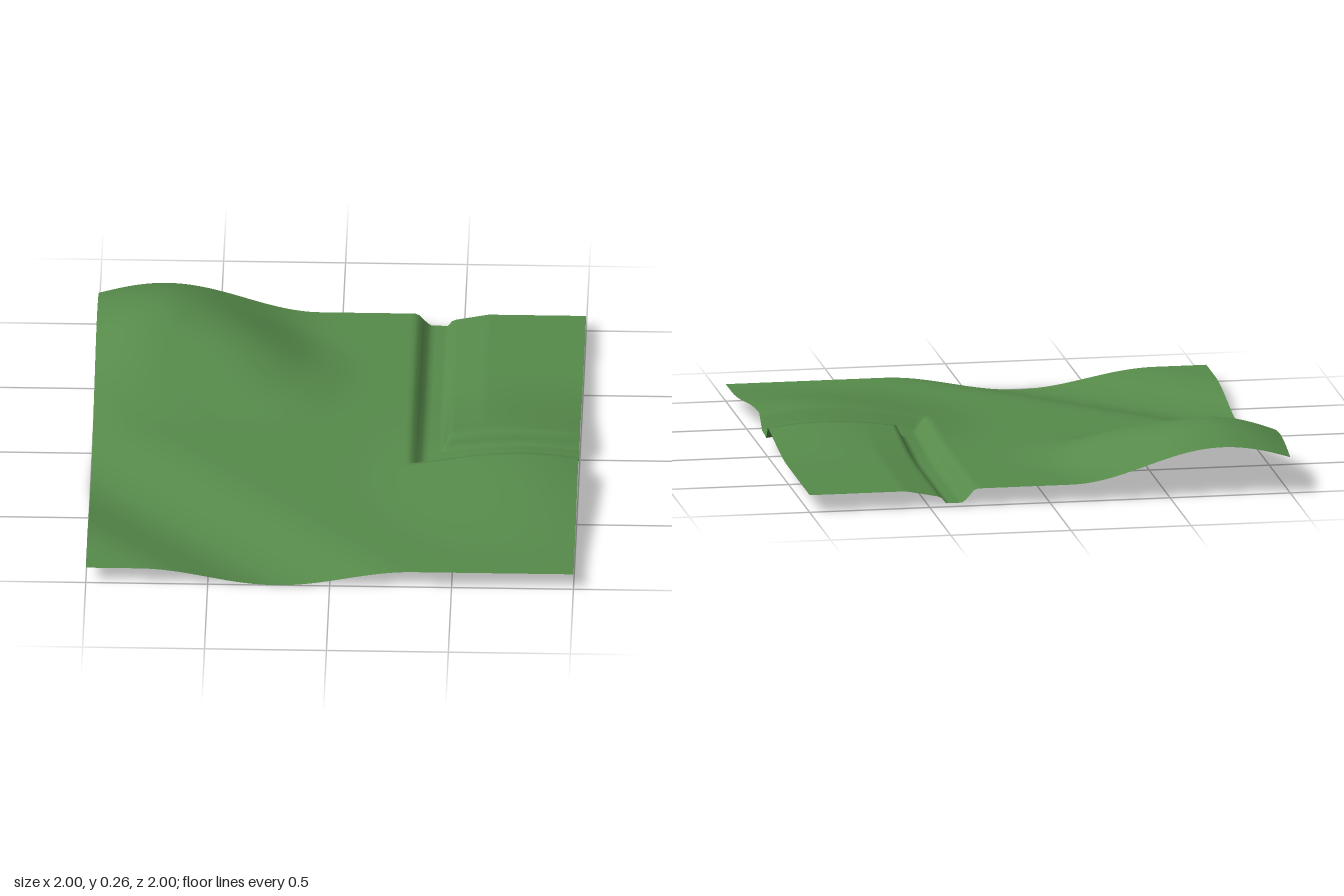
import * as THREE from 'three';

const clamp = THREE.MathUtils.clamp;

// smooth cosine mound: 1 at the middle, 0 at the radius
const mound = (d, r) => (d < r ? 0.5 * (1 + Math.cos((Math.PI * d) / r)) : 0);

// straight-sided profile: 0 -> 1 -> 0 between the four given stations
function trapezoid(w, a, b, c, d) {
  return clamp(Math.min((w - a) / (b - a), (d - w) / (d - c)), 0, 1);
}

const BASE = 0.072;
const hills = [
  { x: -0.72, z: -0.75, h: 0.188, r: 0.68 }, // main hill
  { x: -0.3, z: -0.5, h: 0.055, r: 0.4 },    // its shoulder
  { x: 0.77, z: 0.2, h: 0.085, r: 0.72 },    // low rise under the trench
];

function heightAt(x, z) {
  let y = BASE;
  for (const k of hills) y += k.h * mound(Math.hypot(x - k.x, z - k.z), k.r);

  // shallow valley running diagonally across the front right corner
  y -= BASE * mound(Math.abs(x - z + 1.22) / Math.SQRT2, 0.4);

  // L-shaped trench: one arm runs to the back edge, one to the left edge
  const w = Math.min(x - 0.31, (0.2 - z) * 0.77);
  const trench = 0.057 * trapezoid(w, 0, 0.05, 0.13, 0.155);

  // sloping bank beside the back arm
  const bank = x > 0.44 ? 0.028 * clamp((0.6 - x) / 0.14, 0, 1) * clamp(-z / 0.4, 0, 1) : 0;
  return y - Math.max(trench, bank);
}

export function createModel() {
  const group = new THREE.Group();
  group.name = 'terrain';

  const geometry = new THREE.PlaneGeometry(2, 2, 120, 120).rotateX(-Math.PI / 2);
  const p = geometry.attributes.position;
  for (let i = 0; i < p.count; i++) p.setY(i, Math.max(0, heightAt(p.getX(i), p.getZ(i))));
  geometry.computeVertexNormals();

  const grass = new THREE.MeshStandardMaterial({ color: 0x568a4a, side: THREE.DoubleSide });
  const ground = new THREE.Mesh(geometry, grass);
  ground.name = 'grassGround';
  group.add(ground);
  return group;
}
